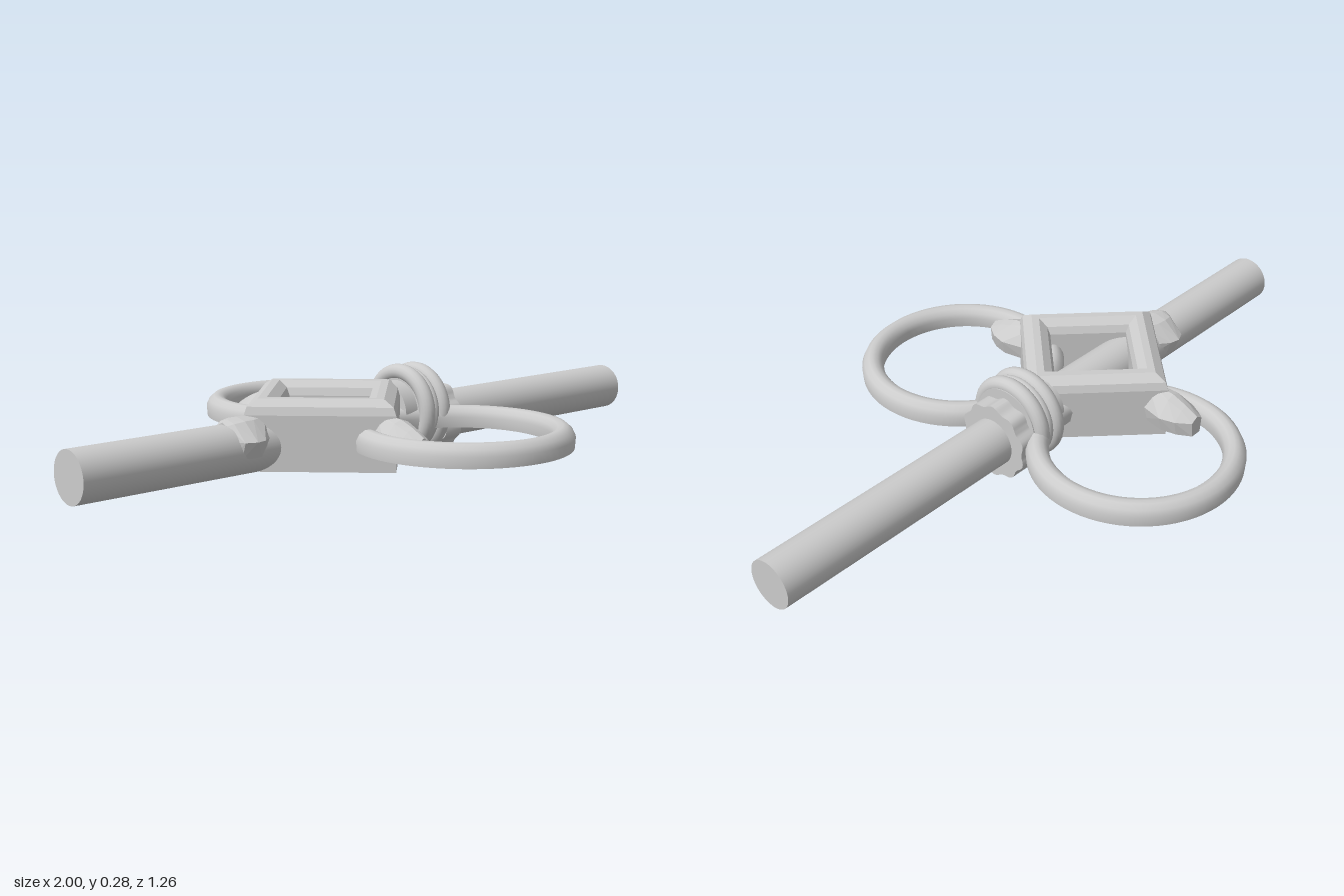
import * as THREE from 'three';
import { toCreasedNormals } from 'three/addons/utils/BufferGeometryUtils.js';
import { ConvexGeometry } from 'three/addons/geometries/ConvexGeometry.js';

const smooth = new THREE.MeshStandardMaterial({ color: 0xcccccc });
const flat = new THREE.MeshStandardMaterial({ color: 0xcccccc, flatShading: true });
const AXIS_Y = 0.115;

// Closed profile of [radius, y] pairs, counter-clockwise, turned about y
function turned(profile, segments) {
  const pts = [...profile, profile[0]].map(([r, y]) => new THREE.Vector2(r, y));
  return toCreasedNormals(new THREE.LatheGeometry(pts, segments), 0.6);
}

export function createModel() {
  const model = new THREE.Group();
  const add = (name, geometry, material, x = 0, y = 0, z = 0) => {
    const mesh = new THREE.Mesh(geometry, material);
    mesh.name = name;
    mesh.position.set(x, y, z);
    model.add(mesh);
    return mesh;
  };

  // Long rod along x
  const rodGeo = new THREE.CylinderGeometry(0.069, 0.069, 2, 48).rotateZ(Math.PI / 2);
  add('rod', rodGeo, smooth, 0, AXIS_Y, 0);

  // Diamond frame: a four-sided turned section with bevelled upper edges
  const frameProfile = [
    [0.282, 0.05], [0.282, 0.2], [0.272, 0.222], [0.235, 0.24],
    [0.205, 0.24], [0.172, 0.222], [0.16, 0.2], [0.16, 0.05],
  ];
  add('diamondFrame', turned(frameProfile, 4), flat, -0.2, 0, 0);

  // Two side rings with domed tops and flat undersides
  const ringProfile = [
    [0.24, 0.105], [0.298, 0.105], [0.3, 0.135], [0.292, 0.152], [0.278, 0.164],
    [0.266, 0.166], [0.252, 0.162], [0.241, 0.15], [0.236, 0.135],
  ];
  const ringGeo = turned(ringProfile, 72);
  for (const side of [-1, 1]) add(side > 0 ? 'frontRing' : 'backRing', ringGeo, smooth, 0, 0, 0.328 * side);

  // Claws at three frame corners, growing outward along +z before turning.
  // Each section: distance, half width, ridge height
  const claw = (sections) => {
    const pts = [];
    for (const [d, w, top] of sections) {
      for (const s of [-1, 1]) {
        pts.push(
          new THREE.Vector3(s * w * 0.8, 0.1, d),
          new THREE.Vector3(s * w, 0.145, d),
          new THREE.Vector3(s * w * 0.4, top - 0.008, d),
        );
      }
      pts.push(new THREE.Vector3(0, top, d));
    }
    return new ConvexGeometry(pts);
  };
  const sideClaw = claw([[0.23, 0.045, 0.2], [0.3, 0.062, 0.195], [0.345, 0.05, 0.178], [0.385, 0.022, 0.158]]);
  const endClaw = claw([[0.23, 0.05, 0.2], [0.275, 0.085, 0.2], [0.305, 0.092, 0.2], [0.335, 0.078, 0.196], [0.35, 0.045, 0.19]]);
  add('frontClaw', sideClaw, flat, -0.2, 0, 0);
  add('backClaw', sideClaw, flat, -0.2, 0, 0).rotation.y = Math.PI;
  add('rodClaw', endClaw, flat, -0.2, 0, 0).rotation.y = -Math.PI / 2;

  // Wrapped binding: two thick coils, a thinner one between, and a core
  const coil = (name, x, outer, tube) => {
    const geo = new THREE.TorusGeometry(outer - tube, tube, 16, 48).rotateY(Math.PI / 2);
    add(name, geo, smooth, x, 0.147, 0);
  };
  coil('innerCoil', 0.081, 0.133, 0.023);
  coil('middleCoil', 0.11, 0.122, 0.016);
  coil('outerCoil', 0.14, 0.133, 0.023);
  const coreGeo = new THREE.CylinderGeometry(0.106, 0.106, 0.1, 40).rotateZ(Math.PI / 2);
  add('bindingCore', toCreasedNormals(coreGeo, 0.6), smooth, 0.115, 0.147, 0);
  const neckGeo = new THREE.CylinderGeometry(0.088, 0.088, 0.06, 32).rotateZ(Math.PI / 2);
  add('neck', neckGeo, smooth, 0.05, 0.147, 0);

  // Lobed collar beside the binding
  const outline = [];
  for (let i = 0; i < 80; i++) {
    const a = (i / 80) * Math.PI * 2;
    const r = 0.11 + 0.005 * Math.cos(10 * (a + Math.PI / 2));
    outline.push(new THREE.Vector2(r * Math.cos(a), r * Math.sin(a)));
  }
  const collarGeo = new THREE.ExtrudeGeometry(new THREE.Shape(outline), { depth: 0.06, bevelEnabled: false });
  add('lobedCollar', toCreasedNormals(collarGeo.rotateY(Math.PI / 2), 0.6), smooth, 0.157, AXIS_Y, 0);

  return model;
}
